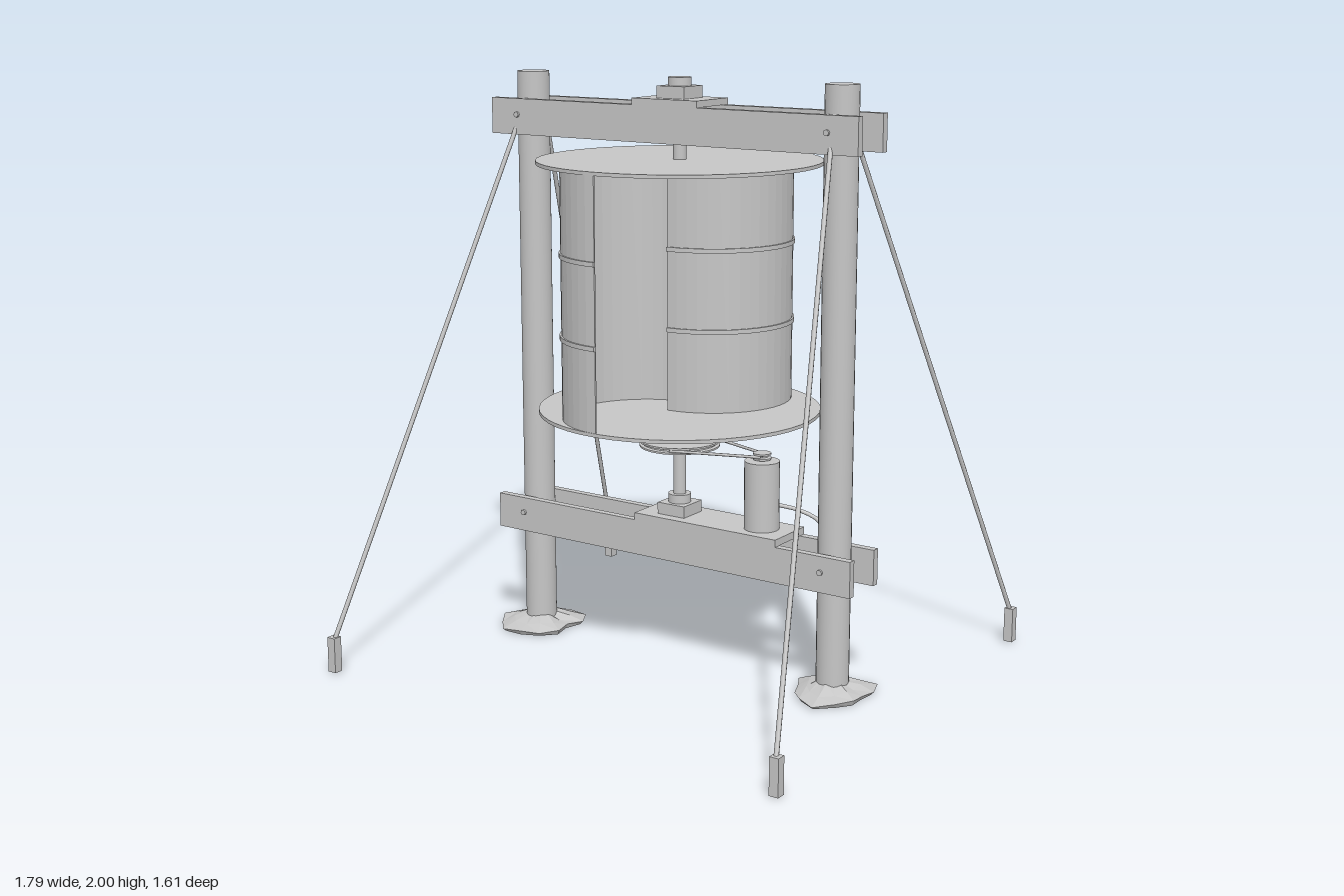
import * as THREE from 'three';

const steel = new THREE.MeshStandardMaterial({ color: 0xc6c6c6 });
steel.name = 'plain grey';

export function createModel() {
  const model = new THREE.Group();
  model.name = 'verticalAxisWindTurbine';

  const add = (name, geometry, x = 0, y = 0, z = 0) => {
    const mesh = new THREE.Mesh(geometry, steel);
    mesh.name = name;
    mesh.position.set(x, y, z);
    model.add(mesh);
    return mesh;
  };
  // Boxes and upright cylinders given by their bottom and top heights
  const box = (name, w, d, y0, y1, x = 0, z = 0) =>
    add(name, new THREE.BoxGeometry(w, y1 - y0, d), x, (y0 + y1) / 2, z);
  const cyl = (name, r, y0, y1, x = 0, z = 0, sides = 24) =>
    add(name, new THREE.CylinderGeometry(r, r, y1 - y0, sides), x, (y0 + y1) / 2, z);

  // Rod between two points
  const rod = (name, a, b, r) => {
    const dir = b.clone().sub(a);
    const mesh = add(name, new THREE.CylinderGeometry(r, r, dir.length(), 8));
    mesh.position.copy(a).add(b).multiplyScalar(0.5);
    mesh.quaternion.setFromUnitVectors(new THREE.Vector3(0, 1, 0), dir.normalize());
  };

  // Half ring bulging to -x, extruded upwards
  const halfRing = (outer, inner, height) => {
    const shape = new THREE.Shape();
    shape.absarc(0, 0, outer, Math.PI / 2, Math.PI * 1.5, false);
    shape.absarc(0, 0, inner, Math.PI * 1.5, Math.PI / 2, true);
    return new THREE.ExtrudeGeometry(shape, { depth: height, bevelEnabled: false, curveSegments: 12 })
      .rotateX(-Math.PI / 2);
  };

  // Craggy footing: jittered rings from a flat base up to the post
  const footing = (seed) => {
    const random = () => {
      seed = (seed * 16807) % 2147483647;
      return seed / 2147483647;
    };
    const n = 13;
    const spread = Array.from({ length: n }, () => 0.115 + 0.055 * random());
    const rings = [[0, 0.005], [0.93, 0.005], [1, 0.018], [0.68, 0.034], [0.3, 0.052], [0, 0.05]];
    const points = rings.map(([scale, y], j) => spread.map((r, i) => {
      const a = (i / n) * Math.PI * 2;
      const lift = j > 1 && j < 5 ? (random() - 0.5) * 0.014 : 0;
      return [Math.cos(a) * r * scale, y + lift, Math.sin(a) * r * scale];
    }));
    const out = [];
    for (let j = 0; j < rings.length - 1; j++) {
      for (let i = 0; i < n; i++) {
        const k = (i + 1) % n;
        const [a, b, c, d] = [points[j][i], points[j + 1][i], points[j + 1][k], points[j][k]];
        if (j < rings.length - 2) out.push(...a, ...b, ...c);
        if (j > 0) out.push(...a, ...c, ...d);
      }
    }
    const geometry = new THREE.BufferGeometry();
    geometry.setAttribute('position', new THREE.Float32BufferAttribute(out, 3));
    geometry.computeVertexNormals();
    return geometry;
  };

  // Posts, footings, guy wires and ground stakes
  for (const sx of [-1, 1]) {
    cyl('post', 0.055, 0.01, 2, sx * 0.61);
    add('footing', footing(sx < 0 ? 4711 : 1234), sx * 0.61);
    for (const sz of [-1, 1]) {
      rod('guyWire', new THREE.Vector3(sx * 0.62, 1.81, sz * 0.085),
        new THREE.Vector3(sx * 0.877, 0.125, sz * 0.785), 0.008);
      box('groundStake', 0.032, 0.032, 0.008, 0.13, sx * 0.88, sz * 0.787);
    }
  }

  // Paired cross beams with bolts
  for (const y of [0.378, 1.788]) {
    for (const sz of [-1, 1]) {
      box('crossBeam', 1.44, 0.027, y, y + 0.122, 0, sz * 0.078);
      for (const sx of [-1, 1]) {
        const bolt = new THREE.CylinderGeometry(0.01, 0.01, 0.008, 8).rotateX(Math.PI / 2);
        add('bolt', bolt, sx * 0.61, y + 0.068, sz * 0.095);
      }
    }
  }

  // Shaft with its two bearings on mounting plates
  cyl('shaft', 0.022, 0.52, 1.99);
  box('topPlate', 0.255, 0.184, 1.91, 1.932);
  box('topBearing', 0.108, 0.108, 1.932, 1.972);
  cyl('topCollar', 0.039, 1.972, 2);
  box('bottomPlate', 0.565, 0.184, 0.5, 0.525, 0.157);
  box('bottomBearing', 0.108, 0.108, 0.525, 0.565);
  cyl('bottomCollar', 0.039, 0.565, 0.595);

  // Rotor: end discs and two offset half drums with ribs
  for (const y of [0.886, 1.72]) cyl('endDisc', 0.475, y, y + 0.012, 0, 0, 48);
  for (const s of [-1, 1]) {
    const blade = new THREE.Group();
    blade.name = 'halfDrum';
    const pieces = [['drumWall', 0.273, 0.267, 0.898, 0.822],
      ['drumRib', 0.279, 0.272, 1.165, 0.015], ['drumRib', 0.279, 0.272, 1.435, 0.015]];
    for (const [name, outer, inner, y, h] of pieces) {
      const mesh = new THREE.Mesh(halfRing(outer, inner, h), steel);
      mesh.name = name;
      mesh.position.set(0, y, 0.2);
      blade.add(mesh);
    }
    if (s < 0) blade.rotation.y = Math.PI;
    model.add(blade);
  }

  // Grooved pulleys
  const pulley = (name, r, x) => {
    const profile = [[0, 0.762], [r, 0.762], [r, 0.768], [r - 0.01, 0.771],
      [r - 0.01, 0.775], [r, 0.778], [r, 0.784], [0, 0.784]];
    // Non-indexed normals keep the groove edges sharp
    const geometry = new THREE.LatheGeometry(profile.map(([a, b]) => new THREE.Vector2(a, b)), 32)
      .toNonIndexed();
    geometry.computeVertexNormals();
    add(name, geometry, x);
  };
  pulley('largePulley', 0.137, 0);
  pulley('smallPulley', 0.03, 0.33);

  // Generator and the belt from the large pulley
  cyl('generator', 0.059, 0.525, 0.757, 0.33);
  cyl('generatorShaft', 0.014, 0.755, 0.765, 0.33);
  for (const s of [-1, 1]) {
    rod('belt', new THREE.Vector3(0.041, 0.773, s * 0.122),
      new THREE.Vector3(0.337, 0.773, s * 0.021), 0.005);
  }

  // Cable from the generator down to the footing
  const path = new THREE.CatmullRomCurve3([[0.36, 0.6, -0.045], [0.43, 0.585, -0.075],
    [0.5, 0.545, -0.1], [0.53, 0.38, -0.11], [0.56, 0.22, -0.108], [0.6, 0.05, -0.095]]
    .map((p) => new THREE.Vector3(...p)));
  add('cable', new THREE.TubeGeometry(path, 24, 0.007, 8));

  return model;
}
